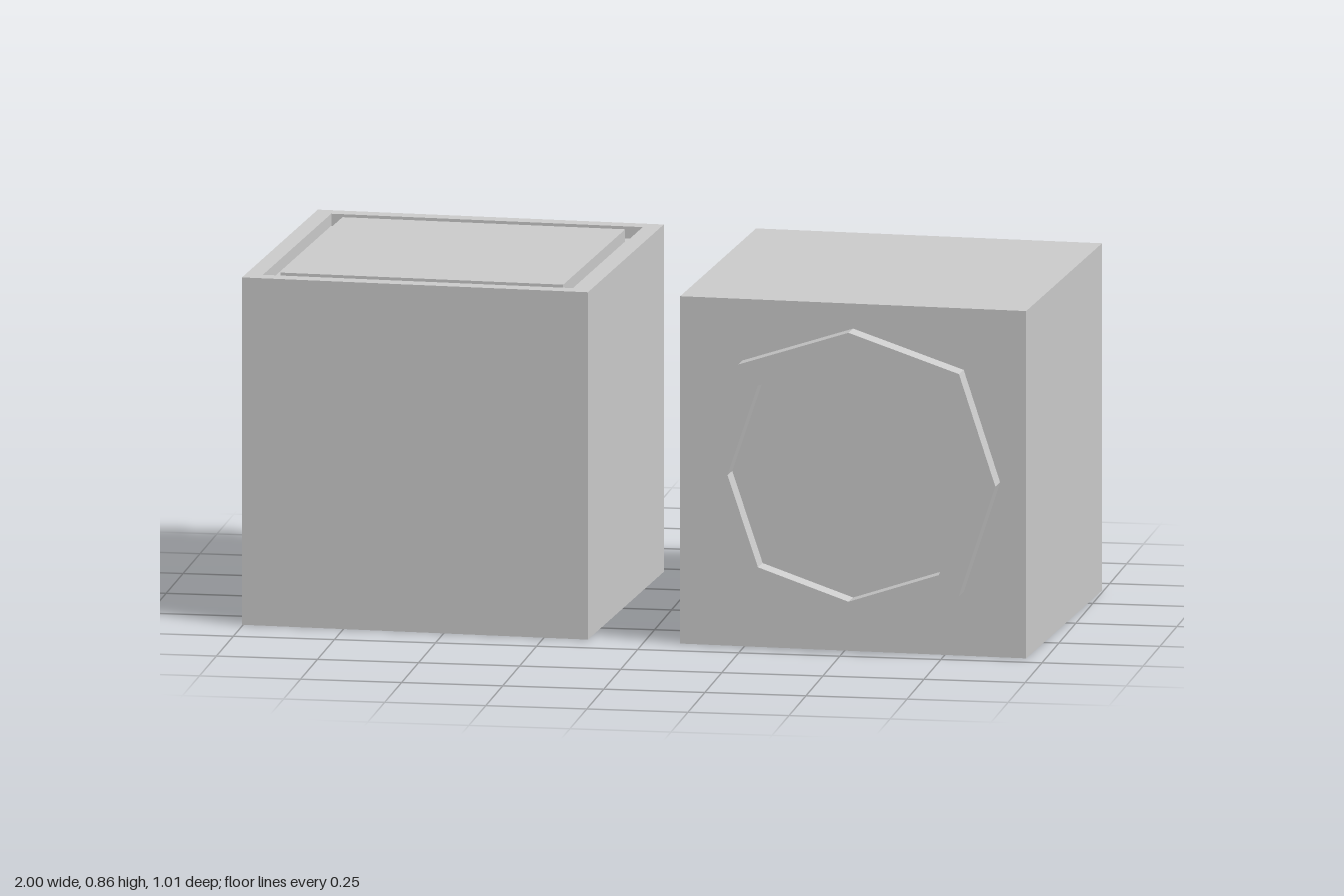
import * as THREE from 'three';

const SIZE = 0.864;
const TURN = -0.05;
const mat = new THREE.MeshStandardMaterial({ color: 0xcccccc, flatShading: true });

function part(name, geometry, parent) {
  const mesh = new THREE.Mesh(geometry, mat);
  mesh.name = name;
  parent.add(mesh);
  return mesh;
}

const square = (half) => [[-half, -half], [half, -half], [half, half], [-half, half]];

// octagon whose straight and diagonal corners have their own offsets
const octagon = (r, d) => [[r, 0], [d, d], [0, r], [-d, d], [-r, 0], [-d, -d], [0, -r], [d, -d]];

// flat frame between two outlines, extruded along +z
function frame(outer, inner, depth) {
  const points = (list) => list.map(([x, y]) => new THREE.Vector2(x, y));
  const shape = new THREE.Shape(points(outer));
  shape.holes.push(new THREE.Path(points(inner)));
  return new THREE.ExtrudeGeometry(shape, { depth, bevelEnabled: false });
}

function machine(name, x, z) {
  const group = new THREE.Group();
  group.name = name;
  group.position.set(x, 0, z);
  group.rotation.y = TURN;
  return group;
}

export function createModel() {
  const model = new THREE.Group();
  model.name = 'laundryPair';

  // top loader: body, rim and lid separated by a square groove
  const groove = 0.03;
  const washer = machine('washer', -0.55, -0.055);
  const bodyHeight = SIZE - groove;
  part('washerBody', new THREE.BoxGeometry(SIZE, bodyHeight, SIZE), washer).position.y = bodyHeight / 2;
  const rim = part('washerRim', frame(square(SIZE / 2), square(SIZE / 2 - 0.043), groove), washer);
  rim.rotation.x = -Math.PI / 2;
  rim.position.y = bodyHeight;
  const lidSize = SIZE - 0.158;
  part('washerLid', new THREE.BoxGeometry(lidSize, groove, lidSize), washer).position.y = SIZE - groove / 2;

  // front loader: body with an eight-sided door ring
  const dryer = machine('dryer', 0.543, -0.001);
  part('dryerBody', new THREE.BoxGeometry(SIZE, SIZE, SIZE), dryer).position.y = SIZE / 2;
  const ring = part('doorRing', frame(octagon(0.367, 0.276), octagon(0.302, 0.226), 0.054), dryer);
  ring.position.set(0, 0.435, SIZE / 2);

  model.add(washer, dryer);
  return model;
}
